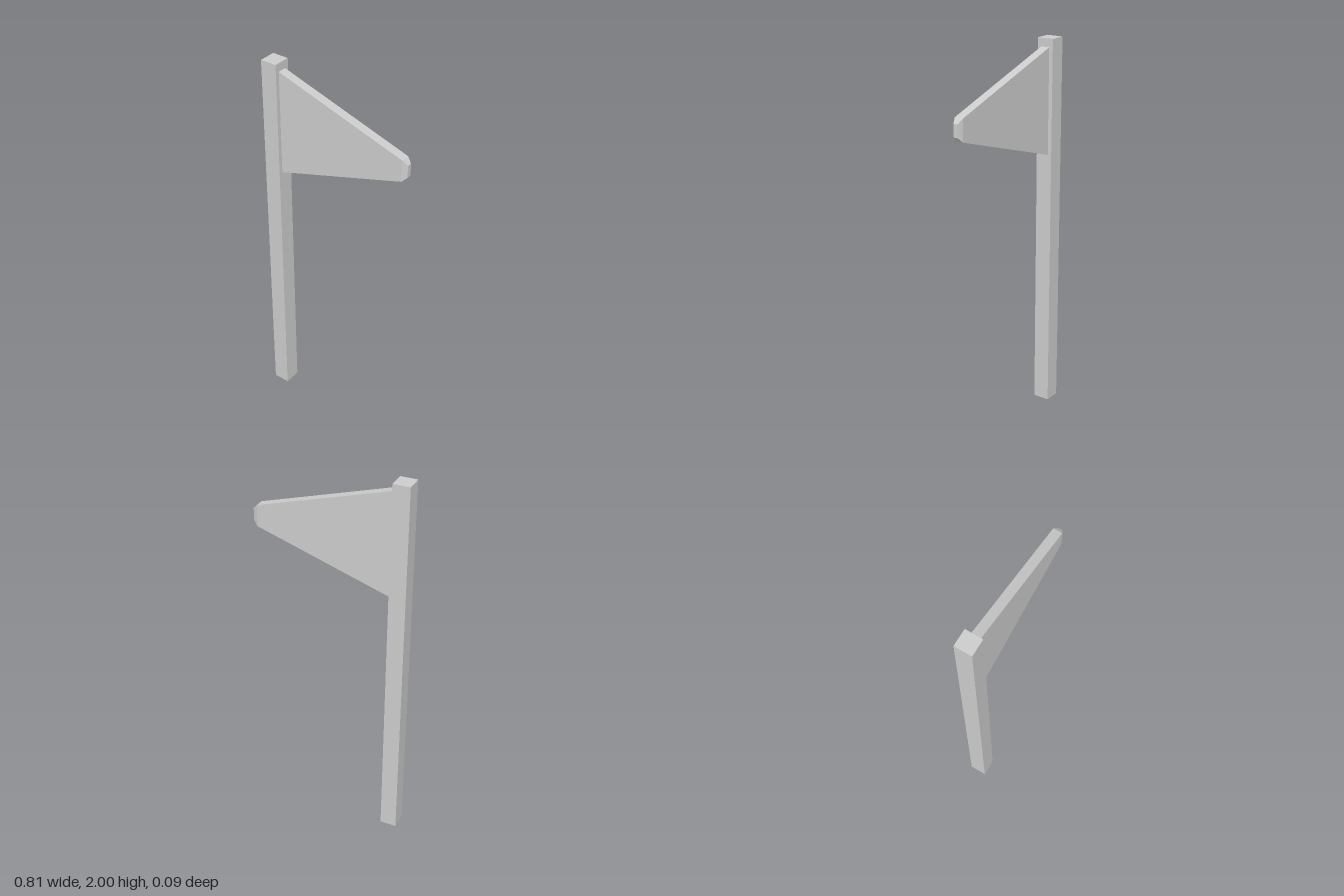
import * as THREE from 'three';

// Joins rectangular cross-sections [x, halfHeight, halfDepth] along x into a closed solid
function loftRectangles(sections) {
  const corners = [[1, 1], [1, -1], [-1, -1], [-1, 1]];
  const rings = sections.map(([x, h, d]) => corners.map(([sy, sz]) => [x, sy * h, sz * d]));
  const positions = [];
  const quad = (a, b, c, d) => positions.push(...a, ...b, ...c, ...a, ...c, ...d);

  for (let i = 0; i < rings.length - 1; i++) {
    for (let k = 0; k < 4; k++) {
      const n = (k + 1) % 4;
      quad(rings[i][k], rings[i + 1][k], rings[i + 1][n], rings[i][n]);
    }
  }
  const [s0, s1, s2, s3] = rings[0];
  const [e0, e1, e2, e3] = rings[rings.length - 1];
  quad(s0, s1, s2, s3);
  quad(e0, e3, e2, e1);

  const geometry = new THREE.BufferGeometry();
  geometry.setAttribute('position', new THREE.Float32BufferAttribute(positions, 3));
  geometry.computeVertexNormals();
  return geometry;
}

export function createModel() {
  const model = new THREE.Group();
  model.name = 'flagOnPole';
  const material = new THREE.MeshStandardMaterial({ color: 0xcccccc, flatShading: true });

  // Square upright pole
  const pole = new THREE.Mesh(new THREE.BoxGeometry(0.087, 2, 0.089), material);
  pole.name = 'pole';
  pole.position.set(-0.3615, 1, 0);
  model.add(pole);

  // Tapering pennant with a bevelled blunt tip
  const pennant = new THREE.Mesh(loftRectangles([
    [-0.319, 0.275, 0.0235],
    [0.381, 0.056, 0.0235],
    [0.405, 0.032, 0.012],
  ]), material);
  pennant.name = 'pennant';
  pennant.position.y = 1.682;
  model.add(pennant);

  return model;
}
